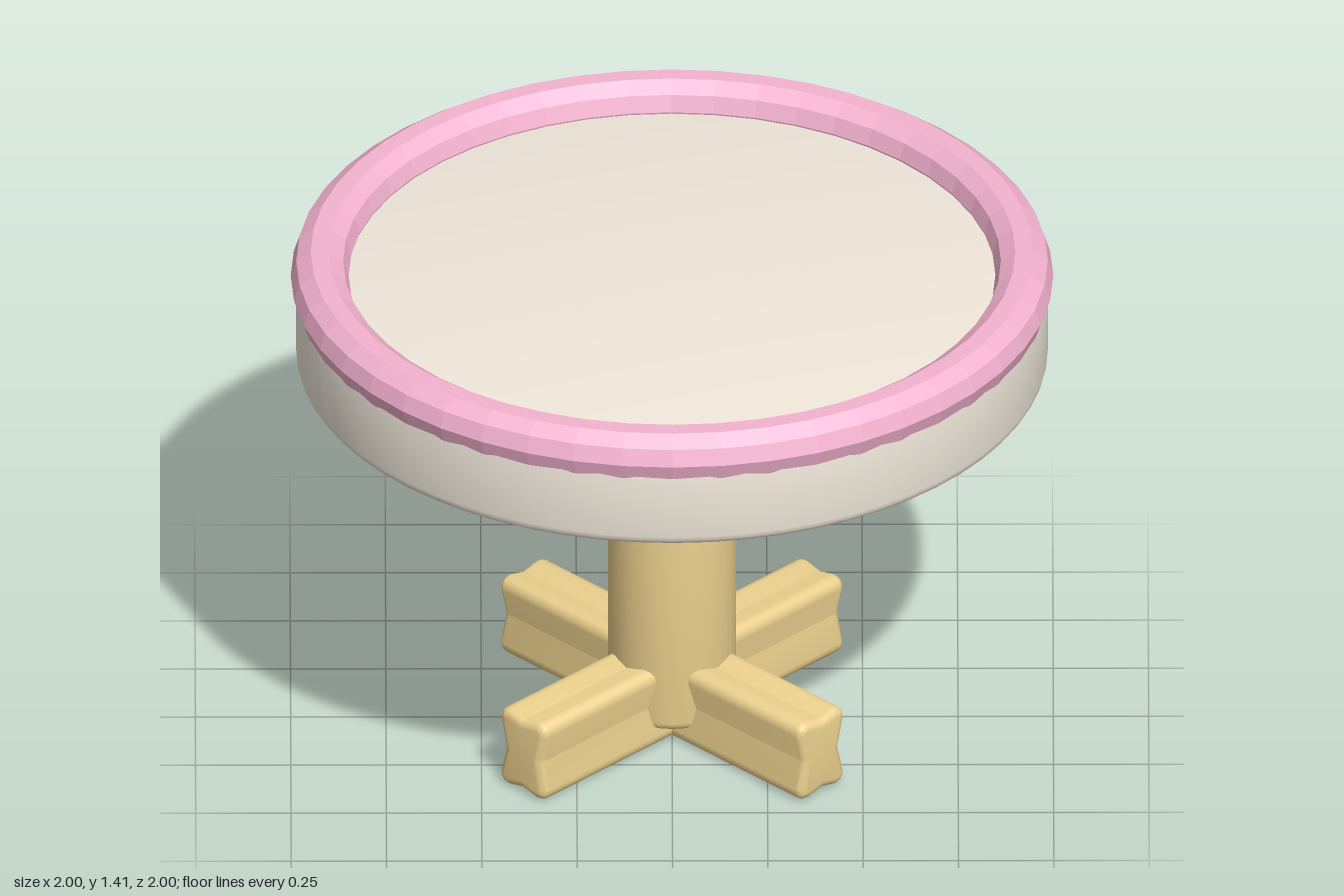
import * as THREE from 'three';
import { toCreasedNormals } from 'three/addons/utils/BufferGeometryUtils.js';

const cream = new THREE.MeshStandardMaterial({ color: 0xf0e7da });
const pink = new THREE.MeshStandardMaterial({ color: 0xf5b3d0, flatShading: true });
const wood = new THREE.MeshStandardMaterial({ color: 0xecd18e });

// Solid of revolution with softly rounded rims
function roundedCylinder(radius, bottom, top, bevel, segments) {
  const points = [new THREE.Vector2(0, bottom)];
  for (const [y, start] of [[bottom + bevel, -Math.PI / 2], [top - bevel, 0]]) {
    for (let i = 0; i <= 4; i++) {
      const a = start + (i / 4) * (Math.PI / 2);
      points.push(new THREE.Vector2(radius - bevel + bevel * Math.cos(a), y + bevel * Math.sin(a)));
    }
  }
  points.push(new THREE.Vector2(0, top));
  return toCreasedNormals(new THREE.LatheGeometry(points, segments), 0.5);
}

// Foot bar: rounded section pinched in the middle of each side
function footBar(length) {
  const w = 0.085, h = 0.115, r = 0.035, bevel = 0.022;
  const s = new THREE.Shape();
  s.moveTo(w - 0.02, 0);
  s.lineTo(w, h - r);
  s.quadraticCurveTo(w, h, w - r, h);
  s.lineTo(0, h - 0.012);
  s.lineTo(-w + r, h);
  s.quadraticCurveTo(-w, h, -w, h - r);
  s.lineTo(-w + 0.02, 0);
  s.lineTo(-w, -h + r);
  s.quadraticCurveTo(-w, -h, -w + r, -h);
  s.lineTo(0, -h + 0.012);
  s.lineTo(w - r, -h);
  s.quadraticCurveTo(w, -h, w, -h + r);
  s.closePath();
  const geometry = new THREE.ExtrudeGeometry(s, {
    depth: length - 2 * bevel, curveSegments: 5,
    bevelThickness: bevel, bevelSize: bevel, bevelOffset: -bevel, bevelSegments: 4,
  });
  geometry.translate(0, h, -length / 2 + bevel);
  return toCreasedNormals(geometry, 0.5);
}

export function createModel() {
  const model = new THREE.Group();
  model.name = 'pedestalTable';
  const add = (name, geometry, material) => {
    const mesh = new THREE.Mesh(geometry, material);
    mesh.name = name;
    model.add(mesh);
    return mesh;
  };

  // Round top with a raised, faceted rim
  add('tableTop', roundedCylinder(0.986, 1.09, 1.335, 0.03, 64), cream);
  const rim = add('rim', new THREE.TorusGeometry(0.924, 0.076, 10, 48), pink);
  rim.rotation.x = -Math.PI / 2;
  rim.position.y = 1.34;

  // Central post
  add('post', roundedCylinder(0.168, 0.05, 1.12, 0.025, 32), wood);

  // Two crossed diagonal foot bars
  const bar = footBar(1.12);
  for (const side of [1, -1]) {
    add(side > 0 ? 'footBarA' : 'footBarB', bar, wood).rotation.y = side * Math.PI / 4;
  }
  return model;
}
